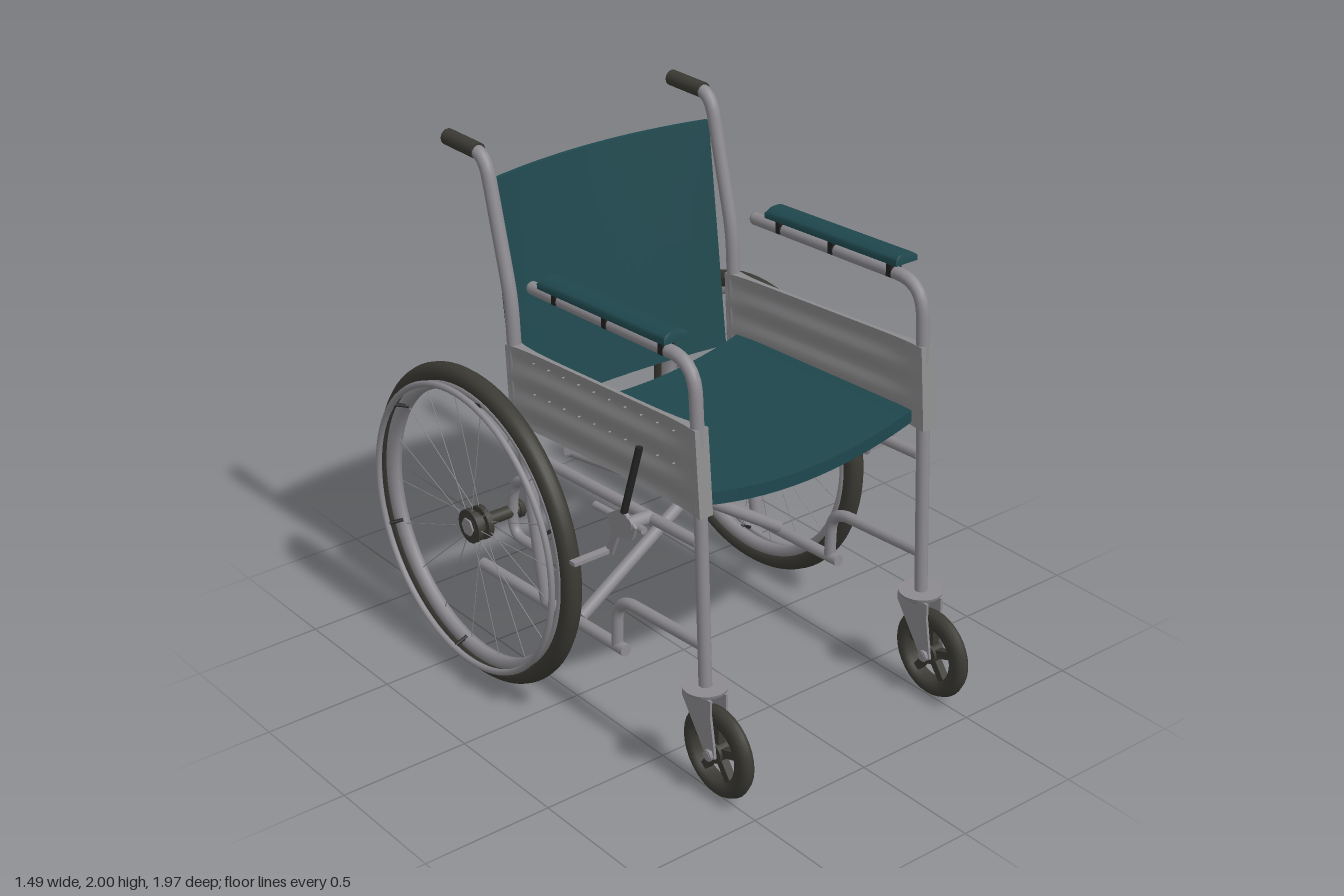
import * as THREE from 'three';

const mat = (name, color) => Object.assign(new THREE.MeshStandardMaterial({ color }), { name });
const V = (x, y, z) => new THREE.Vector3(x, y, z);

export function createModel() {
  const fabric = mat('teal fabric', 0x1f484e);
  const metal = mat('grey metal', 0x8d8b90);
  const panelMat = mat('grey panel', 0x8e8e90);
  const rubber = mat('dark rubber', 0x3b3a34);
  const black = mat('black plastic', 0x222222);
  const root = new THREE.Group();
  root.name = 'wheelchair';

  const add = (parent, name, geo, material, x = 0, y = 0, z = 0) => {
    const m = new THREE.Mesh(geo, material);
    m.name = name;
    m.position.set(x, y, z);
    parent.add(m);
    return m;
  };
  // straight bar between two points
  const rod = (parent, name, a, b, r, material = metal, sides = 14) => {
    const d = b.clone().sub(a);
    const m = add(parent, name, new THREE.CylinderGeometry(r, r, d.length(), sides), material);
    m.position.copy(a).add(b).multiplyScalar(0.5);
    m.quaternion.setFromUnitVectors(V(0, 1, 0), d.normalize());
  };
  // bent pipe with rounded corners
  const pipe = (parent, name, pts, r, bend) => {
    const path = new THREE.CurvePath();
    let from = pts[0];
    for (let i = 1; i < pts.length - 1; i++) {
      const p = pts[i];
      const toward = (q) => p.clone().add(q.clone().sub(p).setLength(Math.min(bend, q.distanceTo(p) * 0.45)));
      const a = toward(pts[i - 1]), b = toward(pts[i + 1]);
      path.add(new THREE.LineCurve3(from, a));
      path.add(new THREE.QuadraticBezierCurve3(a, p, b));
      from = b;
    }
    const end = pts[pts.length - 1];
    path.add(new THREE.LineCurve3(from, end));
    add(parent, name, new THREE.TubeGeometry(path, 70, r, 14), metal);
    for (const p of [pts[0], end]) add(parent, name + 'End', new THREE.SphereGeometry(r, 12, 8), metal, p.x, p.y, p.z);
  };
  // box whose vertices are moved by a rule
  const warpBox = (sx, sy, sz, rule) => {
    const g = new THREE.BoxGeometry(1, 1, 1, sx, sy, sz);
    const p = g.attributes.position;
    for (let i = 0; i < p.count; i++) p.setXYZ(i, ...rule(p.getX(i), p.getY(i), p.getZ(i)));
    g.computeVertexNormals();
    return g;
  };
  // ring and disc with their axis along x
  const ring = (R, r, seg = 64, tubeSeg = 12) => new THREE.TorusGeometry(R, r, tubeSeg, seg).rotateY(Math.PI / 2);
  const disc = (r, w, seg = 24) => new THREE.CylinderGeometry(r, r, w, seg).rotateZ(Math.PI / 2);
  // closed profile of [radius, offset] points turned about the x axis
  const turned = (profile, seg) => new THREE.LatheGeometry(profile.map(([r, h]) => new THREE.Vector2(r, h)), seg).rotateZ(Math.PI / 2);
  // flat plate drawn in the (z, y) plane
  const plate = (pts, t) => new THREE.ExtrudeGeometry(
    new THREE.Shape(pts.map(([z, y]) => new THREE.Vector2(z, y))), { depth: t, bevelEnabled: false }
  ).translate(0, 0, -t / 2).rotateY(-Math.PI / 2);

  // sagging seat sling
  add(root, 'seat', warpBox(16, 1, 4, (x, y, z) => {
    const zz = 0.193 + z * 0.943;
    return [x * 0.98, 1.068 + y * 0.048 - 0.07 * (1 - 4 * x * x) - (0.665 - zz) * 0.045 + 0.002, zz];
  }).translate(0, 0.022, 0), fabric);

  // bowed backrest sling
  add(root, 'backrest', warpBox(16, 8, 1, (x, y, z) => {
    const v = y + 0.5, bow = 1 - 4 * x * x;
    return [x * 0.97, 1.005 + v * 0.87, -0.35 - 0.11 * v - (0.035 + 0.025 * v) * bow + z * 0.016];
  }), fabric);

  // folding cross brace
  for (const s of [1, -1]) {
    const z = s > 0 ? 0.025 : -0.033;
    rod(root, 'crossBrace', V(s * 0.49, 1.0, z), V(-s * 0.49, 0.35, z), 0.024);
  }
  rod(root, 'crossPivot', V(0, 0.675, -0.062), V(0, 0.675, 0.054), 0.012);

  for (const s of [1, -1]) buildSide(s);
  return root;

  function buildSide(s) {
    const side = new THREE.Group();
    side.name = s > 0 ? 'leftSide' : 'rightSide';
    root.add(side);
    const X = s * 0.503;
    const P = (y, z, x = X) => V(x, y, z);

    // frame tubes
    pipe(side, 'frontPostAndArm', [P(0.4, 0.738), P(1.1, 0.708), P(1.6, 0.675), P(1.56, -0.2)], 0.024, 0.12);
    pipe(side, 'backPost', [P(0.33, -0.17), P(1.05, -0.31), P(1.47, -0.335), P(1.97, -0.465), P(1.972, -0.6)], 0.026, 0.08);
    rod(side, 'seatRail', P(1.082, 0.65, s * 0.47), P(1.04, -0.27, s * 0.47), 0.018);
    rod(side, 'upperRail', P(0.95, 0.7), P(0.9, -0.29), 0.021);
    rod(side, 'bottomRail', P(0.342, 0.3), P(0.305, -0.575), 0.023);
    pipe(side, 'lowerRail', [P(0.568, 0.72), P(0.54, 0.255), P(0.345, 0.25)], 0.022, 0.1);
    pipe(side, 'axleBracket', [P(0.79, -0.26), P(0.74, -0.36), P(0.52, -0.375), P(0.525, -0.21)], 0.02, 0.09);
    rod(side, 'handGrip', P(1.972, -0.505), P(1.972, -0.69), 0.03, rubber, 20);

    // armrest pad with its brackets
    const pad = add(side, 'armPad', warpBox(8, 2, 6, (x, y, z) => {
      const top = y > 0.4;
      return [x * (top ? 0.084 : 0.1), y * 0.038 - (top ? 0.012 * Math.pow(Math.abs(x * 2), 3) : 0), z * (top ? 0.68 : 0.69)];
    }), fabric, s * 0.508, 1.643, 0.243);
    pad.rotation.x = -0.052;
    for (const z of [0.53, 0.23, -0.05]) {
      add(side, 'padBracket', new THREE.BoxGeometry(0.052, 0.045, 0.022), black, X, 1.602 + (z - 0.5) * 0.045, z);
    }

    // skirt panel wrapped round both posts, gently ribbed
    add(side, 'sidePanel', warpBox(1, 20, 16, (x, y, z) => {
      const u = 0.5 - z, v = y + 0.5;
      const half = 0.008 + 0.02 * Math.pow(Math.abs(z * 2), 6);
      const wave = 0.006 * Math.sin(v * 17) * (1 - Math.pow(Math.abs(z * 2), 4));
      const bottom = 1.062 - 0.06 * u, top = 1.375 - 0.07 * u;
      return [X + x * 2 * half + wave, bottom + (top - bottom) * v, 0.727 - 1.055 * u - (1 - v) * (0.008 * u - 0.012) - v * 0.015];
    }), panelMat);
    for (let i = 0; i < 12; i++) {
      for (const v of [0.48, 0.87]) {
        const u = 0.04 + i * 0.083;
        add(side, 'panelRivet', disc(0.0035, 0.01, 8), metal, X + s * 0.012, 1.06 - 0.06 * u + v * 0.31, 0.71 - 1.04 * u);
      }
    }

    // parking brake
    add(side, 'brakePlate', plate([[0.48, 0.94], [0.40, 0.985], [0.32, 0.93], [0.35, 0.87], [0.31, 0.78],
      [0.345, 0.78], [0.38, 0.865], [0.46, 0.89]], 0.014), metal, s * 0.59);
    rod(side, 'brakeClamp', P(0.94, 0.44), P(0.94, 0.44, s * 0.6), 0.025);
    rod(side, 'brakeRail', P(0.935, 0.5, s * 0.575), P(0.92, 0.23, s * 0.575), 0.014);
    add(side, 'brakeStop', new THREE.BoxGeometry(0.155, 0.014, 0.03), metal, s * 0.668, 0.79, 0.322);
    rod(side, 'brakeLever', P(0.97, 0.41, s * 0.59), P(1.215, 0.44, s * 0.545), 0.013, black);

    // rear wheel
    const wheel = new THREE.Group();
    wheel.name = 'rearWheel';
    wheel.position.set(s * 0.66, 0.615, -0.375);
    side.add(wheel);
    add(wheel, 'tyre', ring(0.573, 0.037, 80, 14), rubber);
    add(wheel, 'rim', turned([[0.55, -0.028], [0.55, 0.028], [0.518, 0.02], [0.512, 0], [0.518, -0.02], [0.55, -0.028]], 80), metal);
    add(wheel, 'handRim', ring(0.545, 0.012, 80, 10), metal, s * 0.064);
    add(wheel, 'axle', disc(0.024, 0.2), rubber, -s * 0.1);
    add(wheel, 'axleNut', disc(0.034, 0.022, 6), rubber, -s * 0.19);
    add(wheel, 'hub', disc(0.042, 0.07), rubber);
    for (const x of [-0.023, 0.023]) add(wheel, 'hubFlange', disc(0.064, 0.022), rubber, x);
    add(wheel, 'hubCap', disc(0.035, 0.012, 6), metal, s * 0.036);
    for (let i = 0; i < 18; i++) {
      const a = i * Math.PI / 9 + 0.05, c = Math.cos(a), n = Math.sin(a);
      const x = i % 2 ? 0.023 : -0.023;
      rod(wheel, 'spoke', V(x, n * 0.05, c * 0.05), V(0, n * 0.52, c * 0.52), 0.0018, metal, 5);
    }
    for (let i = 0; i < 6; i++) {
      const a = i * Math.PI / 3 - 0.68, c = Math.cos(a), n = Math.sin(a);
      rod(wheel, 'handRimStay', V(s * 0.01, n * 0.515, c * 0.515), V(s * 0.064, n * 0.542, c * 0.542), 0.007, black, 8);
    }

    // front caster
    const caster = new THREE.Group();
    caster.name = 'caster';
    caster.position.set(X, 0.19, 0.81);
    side.add(caster);
    add(caster, 'casterTyre', turned([[0.11, -0.024], [0.145, -0.028], [0.166, -0.018], [0.174, 0], [0.166, 0.018],
      [0.145, 0.028], [0.11, 0.024], [0.11, -0.024]], 32), rubber);
    add(caster, 'casterHub', disc(0.038, 0.052), rubber);
    for (let i = 0; i < 5; i++) {
      const a = i * Math.PI * 0.4;
      const spoke = add(caster, 'casterSpoke', new THREE.BoxGeometry(0.03, 0.09, 0.03), rubber, 0, Math.cos(a) * 0.075, Math.sin(a) * 0.075);
      spoke.rotation.x = a;
    }
    add(caster, 'casterAxle', disc(0.014, 0.11, 12), metal);
    for (const k of [1, -1]) {
      add(caster, 'casterNut', disc(0.022, 0.014, 6), metal, k * 0.046);
      add(caster, 'forkBlade', plate([[0, 0.21], [-0.15, 0.21], [-0.15, 0.17], [-0.025, -0.01], [0, -0.024],
        [0.025, -0.008], [0.02, 0.03], [0, 0.15]], 0.01), metal, k * 0.035);
    }
    add(caster, 'forkCrown', new THREE.CylinderGeometry(0.06, 0.042, 0.03, 24), metal, 0, 0.203, -0.073);
    add(caster, 'forkDisc', new THREE.CylinderGeometry(0.082, 0.078, 0.012, 24), metal, 0, 0.223, -0.073);
  }
}
